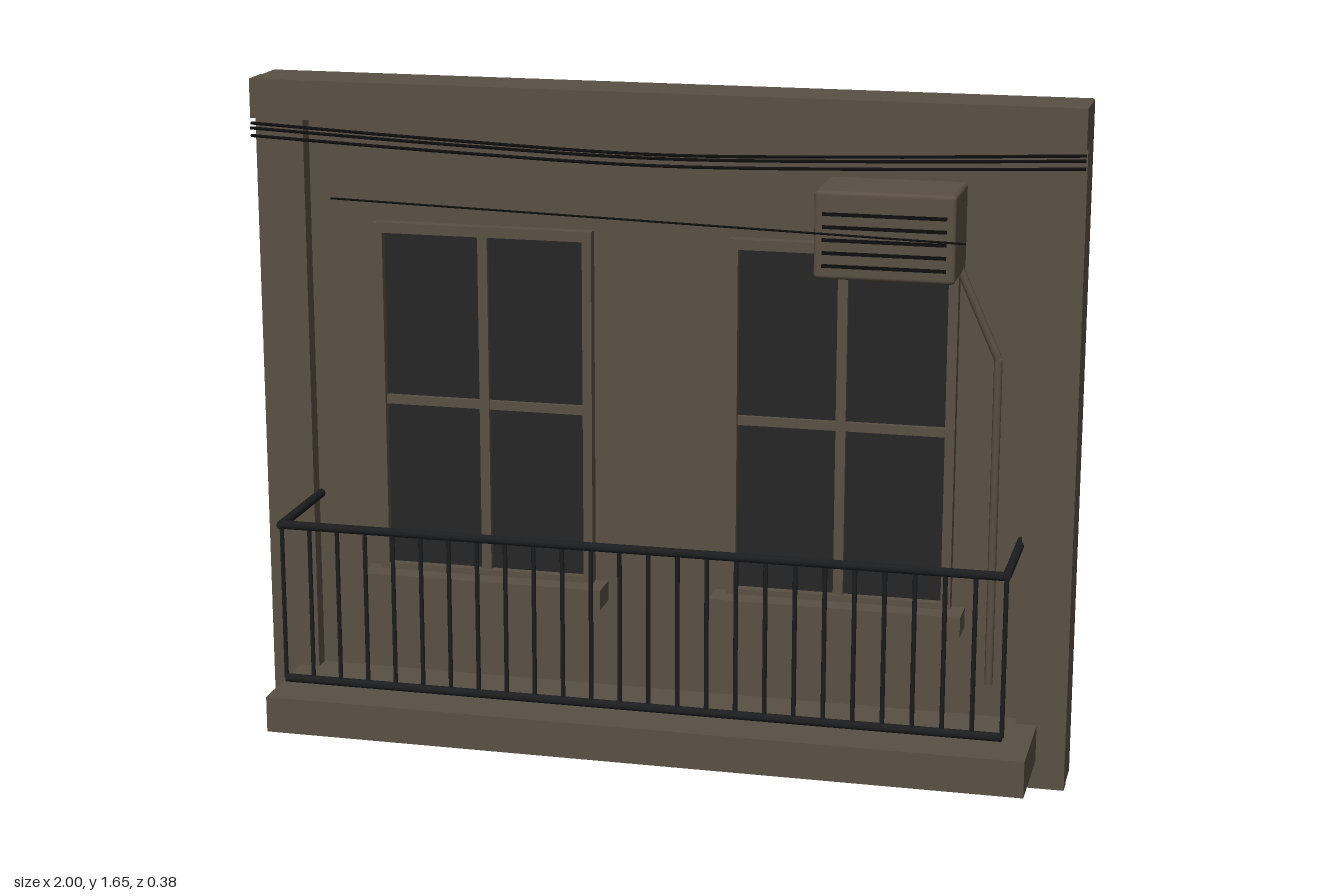
import * as THREE from 'three';
import { RoundedBoxGeometry } from 'three/addons/geometries/RoundedBoxGeometry.js';

const mat = (name, color) => {
  const m = new THREE.MeshStandardMaterial({ color });
  m.name = name;
  return m;
};

export function createModel() {
  const plaster = mat('plaster', 0x5a5044);
  const glass = mat('glass', 0x262626);
  const iron = mat('iron', 0x1b1d1f);
  const rubber = mat('rubber', 0x0e0e0e);

  const root = new THREE.Group();
  root.name = 'balconyFacade';

  const add = (parent, name, geometry, material) => {
    const mesh = new THREE.Mesh(geometry, material);
    mesh.name = name;
    parent.add(mesh);
    return mesh;
  };
  const group = (name) => {
    const g = new THREE.Group();
    g.name = name;
    root.add(g);
    return g;
  };
  // Box given by its limits on each axis, optionally with rounded edges
  const box = (parent, name, material, [x0, x1], [y0, y1], [z0, z1], r = 0) => {
    const size = [x1 - x0, y1 - y0, z1 - z0];
    const g = r ? new RoundedBoxGeometry(...size, 2, r) : new THREE.BoxGeometry(...size);
    g.translate((x0 + x1) / 2, (y0 + y1) / 2, (z0 + z1) / 2);
    return add(parent, name, g, material);
  };
  // Round rod between two points
  const rod = (parent, name, material, a, b, r) => {
    const p = new THREE.Vector3(...a), q = new THREE.Vector3(...b);
    const dir = q.clone().sub(p);
    const mesh = add(parent, name, new THREE.CylinderGeometry(r, r, dir.length(), 8), material);
    mesh.position.copy(p).add(q).multiplyScalar(0.5);
    mesh.quaternion.setFromUnitVectors(new THREE.Vector3(0, 1, 0), dir.normalize());
    return mesh;
  };

  // Wall, cornice, corner pilasters and balcony slab
  const WALL = -0.1;
  box(root, 'wall', plaster, [-1, 1], [0, 1.65], [-0.19, WALL], 0.006);
  box(root, 'cornice', plaster, [-1, 1], [1.555, 1.65], [WALL, -0.025]);
  for (const s of [-1, 1]) {
    box(root, s > 0 ? 'leftPilaster' : 'rightPilaster', plaster,
      [s * 0.94 - 0.06, s * 0.94 + 0.06], [0, 1.555], [WALL, -0.06]);
  }
  box(root, 'balconySlab', plaster, [-0.93, 0.93], [0.07, 0.16], [WALL, 0.185]);

  // Two windows with surround, glazing bars and sill
  for (const cx of [-0.44, 0.44]) {
    const w = group(cx > 0 ? 'leftWindow' : 'rightWindow');
    const X = (a, b) => [cx + a, cx + b];
    box(w, 'glass', glass, X(-0.255, 0.255), [0.43, 1.285], [WALL, -0.092]);
    const depth = [WALL, -0.07];
    box(w, 'frameSide', plaster, X(-0.273, -0.25), [0.43, 1.305], depth);
    box(w, 'frameSide', plaster, X(0.25, 0.273), [0.43, 1.305], depth);
    box(w, 'frameTop', plaster, X(-0.25, 0.25), [1.28, 1.305], depth);
    box(w, 'frameBottom', plaster, X(-0.25, 0.25), [0.43, 0.445], depth);
    box(w, 'mullion', plaster, X(-0.012, 0.012), [0.44, 1.28], [WALL, -0.078]);
    box(w, 'transom', plaster, X(-0.25, 0.25), [0.852, 0.874], [WALL, -0.08]);
    box(w, 'sill', plaster, X(-0.305, 0.305), [0.38, 0.43], [WALL, -0.018]);
  }

  // Railing
  const railing = group('railing');
  const RX = 0.875, RZ = 0.183, TOP = 0.605, LOW = 0.215;
  rod(railing, 'topRail', iron, [-RX, TOP, RZ], [RX, TOP, RZ], 0.011);
  rod(railing, 'bottomRail', iron, [-RX, LOW, RZ], [RX, LOW, RZ], 0.011);
  for (const s of [-1, 1]) {
    rod(railing, 'sideRail', iron, [s * RX, TOP, RZ + 0.008], [s * RX, TOP, WALL], 0.011);
  }
  const count = 25;
  for (let i = 0; i <= count; i++) {
    const x = -RX + (2 * RX * i) / count;
    rod(railing, 'baluster', iron, [x, LOW, RZ], [x, TOP, RZ], 0.0055);
  }

  // Air conditioner with grille slats and drain pipe
  const ac = group('airConditioner');
  box(ac, 'casing', plaster, [0.4, 0.725], [1.255, 1.46], [WALL, 0.095], 0.01);
  for (let i = 0; i < 5; i++) {
    const y = 1.287 + i * 0.03;
    box(ac, 'grilleSlat', rubber, [0.42, 0.705], [y - 0.004, y + 0.004], [0.09, 0.099]);
  }
  const pipe = [[0.71, 1.28, -0.055], [0.81, 1.05, -0.072], [0.81, 0.25, -0.075]];
  for (let i = 0; i < 2; i++) rod(ac, 'drainPipe', plaster, pipe[i], pipe[i + 1], 0.01);

  // Sagging cables under the cornice
  const cables = group('cables');
  for (const [end, mid, z] of [[1.542, 1.505, -0.03], [1.531, 1.497, -0.024], [1.512, 1.479, -0.028]]) {
    const pts = [[-1, end], [-0.5, (end + mid) / 2 - 0.004], [0, mid],
      [0.5, (end + mid) / 2 - 0.004], [1, end]].map(([x, y]) => new THREE.Vector3(x, y, z));
    add(cables, 'cable', new THREE.TubeGeometry(new THREE.CatmullRomCurve3(pts), 24, 0.004, 6), rubber);
  }
  rod(cables, 'thinCable', rubber, [-0.755, 1.393, 0.103], [0.75, 1.354, 0.103], 0.0025);

  return root;
}
